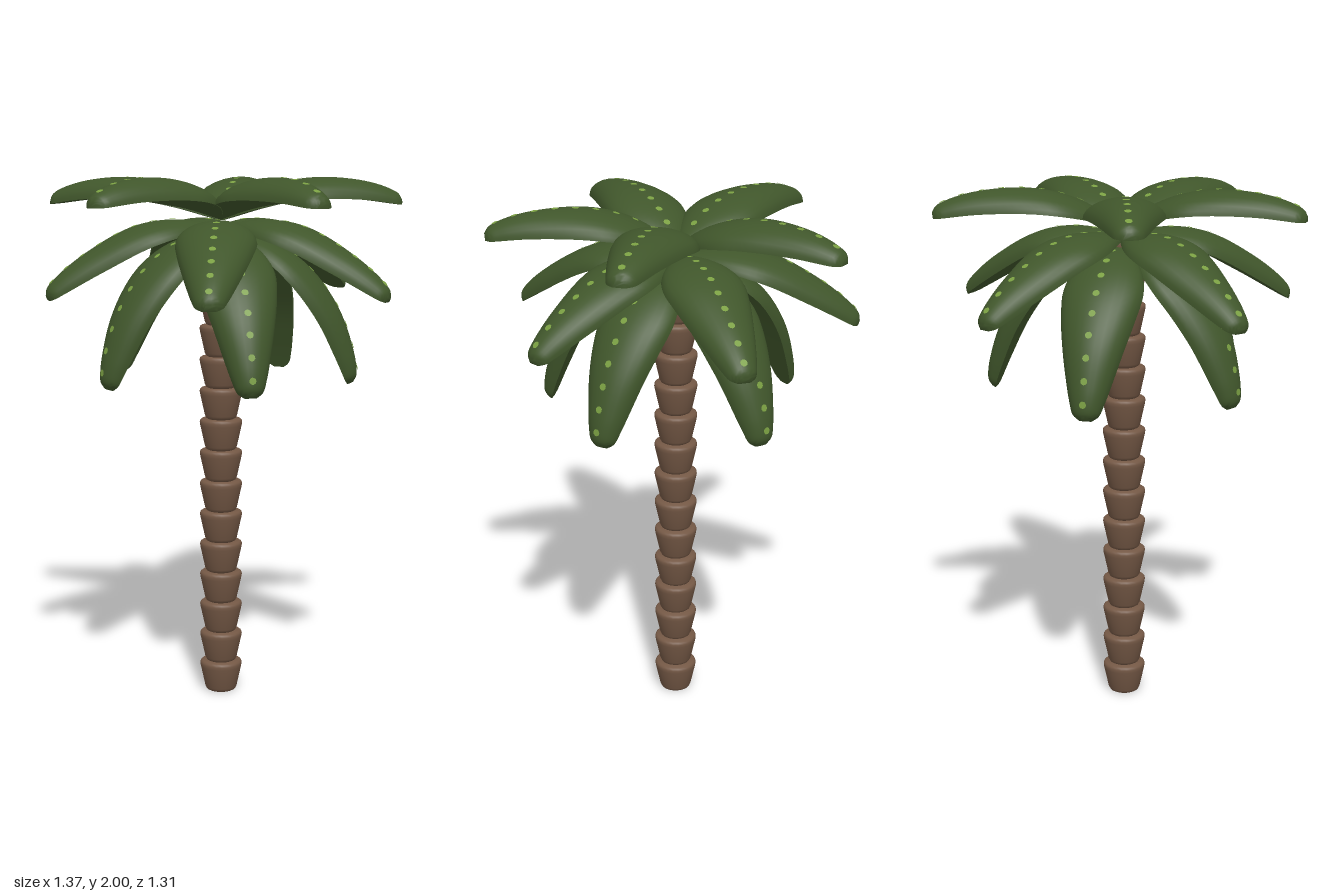
import * as THREE from 'three';
import { toCreasedNormals, mergeGeometries } from 'three/addons/utils/BufferGeometryUtils.js';

const mat = (name, color) => Object.assign(new THREE.MeshStandardMaterial({ color }), { name });
const bark = mat('bark brown', 0x745845);
const leaf = mat('leaf green', 0x40562b);
const spot = mat('spot light green', 0x7a9f42);

const V = (x, y, z = 0) => new THREE.Vector3(x, y, z);
const RING = 0.1205, RINGS = 15;

// Uneven spacing of the five fronds in a whorl, in degrees
const SPREAD = [0, 68, 137, 206, 289.5];

// Each whorl: first frond's direction and the frond's underside line as (radius, height)
const WHORLS = [
  { name: 'lowerFrond', start: 56, line: [[0, 1.78], [0.15, 1.722], [0.27, 1.625], [0.374, 1.485], [0.445, 1.335], [0.487, 1.23]] },
  { name: 'middleFrond', start: 3, line: [[0, 1.81], [0.15, 1.792], [0.3, 1.752], [0.48, 1.66], [0.663, 1.553]] },
  { name: 'upperFrond', start: 38.7, line: [[0, 1.84], [0.15, 1.891], [0.32, 1.918], [0.53, 1.916], [0.693, 1.896]] },
];

// Frond cross-sections: position along the frond, half width, dome height
const SECTIONS = new THREE.CatmullRomCurve3([
  V(0, 0.01, 0.01), V(0.12, 0.072, 0.037), V(0.25, 0.126, 0.06), V(0.38, 0.148, 0.074),
  V(0.52, 0.136, 0.08), V(0.68, 0.11, 0.078), V(0.82, 0.084, 0.069), V(0.92, 0.063, 0.056),
  V(0.975, 0.047, 0.042), V(1, 0.022, 0.022),
]);

// Domed leaf with a flat underside, plus the line along its crest
function frond(line) {
  const curve = new THREE.CatmullRomCurve3(line.map(([r, y]) => V(r, y)));
  const slices = 36, arc = 14, n = arc + 1;
  const pos = [], index = [], crest = [];
  for (let i = 0; i <= slices; i++) {
    const s = SECTIONS.getPoint(i / slices);
    const t = THREE.MathUtils.clamp(s.x, 0, 1);
    const p = curve.getPointAt(t), d = curve.getTangentAt(t);
    const up = V(-d.y, d.x);
    crest.push(p.clone().addScaledVector(up, s.z));
    for (let j = 0; j <= arc; j++) {
      const a = Math.PI * j / arc;
      const q = p.clone().addScaledVector(up, s.z * Math.sin(a));
      pos.push(q.x, q.y, s.y * Math.cos(a));
      if (i < slices) {
        const k = (j + 1) % n, a0 = i * n + j, b0 = i * n + k;
        index.push(a0, a0 + n, b0, b0, a0 + n, b0 + n);
      }
    }
  }
  // end caps
  const e = slices * n;
  for (let j = 1; j < arc; j++) index.push(e, e + j + 1, e + j, 0, j, j + 1);
  const g = new THREE.BufferGeometry();
  g.setAttribute('position', new THREE.Float32BufferAttribute(pos, 3));
  g.setIndex(index);
  return { blade: toCreasedNormals(g, 0.8), crest: new THREE.CatmullRomCurve3(crest) };
}

// Row of small flat spots along the crest
function spots(crest) {
  const list = [];
  for (let k = 0; k < 10; k++) {
    const u = 0.055 + k * 0.097;
    const p = crest.getPointAt(u), d = crest.getTangentAt(u);
    const up = V(-d.y, d.x);
    const g = new THREE.CircleGeometry(0.013, 10);
    g.applyQuaternion(new THREE.Quaternion().setFromUnitVectors(V(0, 0, 1), up));
    p.addScaledVector(up, 0.002);
    list.push(g.translate(p.x, p.y, p.z));
  }
  return mergeGeometries(list);
}

export function createModel() {
  const palm = new THREE.Group();
  palm.name = 'palmTree';

  // Trunk of stacked flaring rings with rounded edges
  const trunk = new THREE.Group();
  trunk.name = 'trunk';
  const profile = [[0, 0], [0.05, 0], [0.057, 0.004], [0.062, 0.014], [0.08, 0.096], [0.082, 0.108], [0.08, 0.116], [0.074, RING], [0, RING]];
  const ringGeo = toCreasedNormals(
    new THREE.LatheGeometry(profile.map(([r, y]) => new THREE.Vector2(r, y)), 24), 0.9);
  for (let i = 0; i < RINGS; i++) {
    const ring = new THREE.Mesh(ringGeo, bark);
    ring.name = 'trunkRing';
    ring.position.y = i * RING;
    trunk.add(ring);
  }
  trunk.position.set(0.011, 0, -0.013);
  palm.add(trunk);

  // Crown of three whorls of fronds
  const crown = new THREE.Group();
  crown.name = 'crown';
  for (const { name, start, line } of WHORLS) {
    const { blade, crest } = frond(line);
    const dots = spots(crest);
    for (const offset of SPREAD) {
      const f = new THREE.Group();
      f.name = name;
      const b = new THREE.Mesh(blade, leaf);
      b.name = 'blade';
      const s = new THREE.Mesh(dots, spot);
      s.name = 'spots';
      f.add(b, s);
      f.rotation.y = -THREE.MathUtils.degToRad(start + offset);
      crown.add(f);
    }
  }
  crown.position.set(0.017, 0, -0.018);
  palm.add(crown);
  return palm;
}
